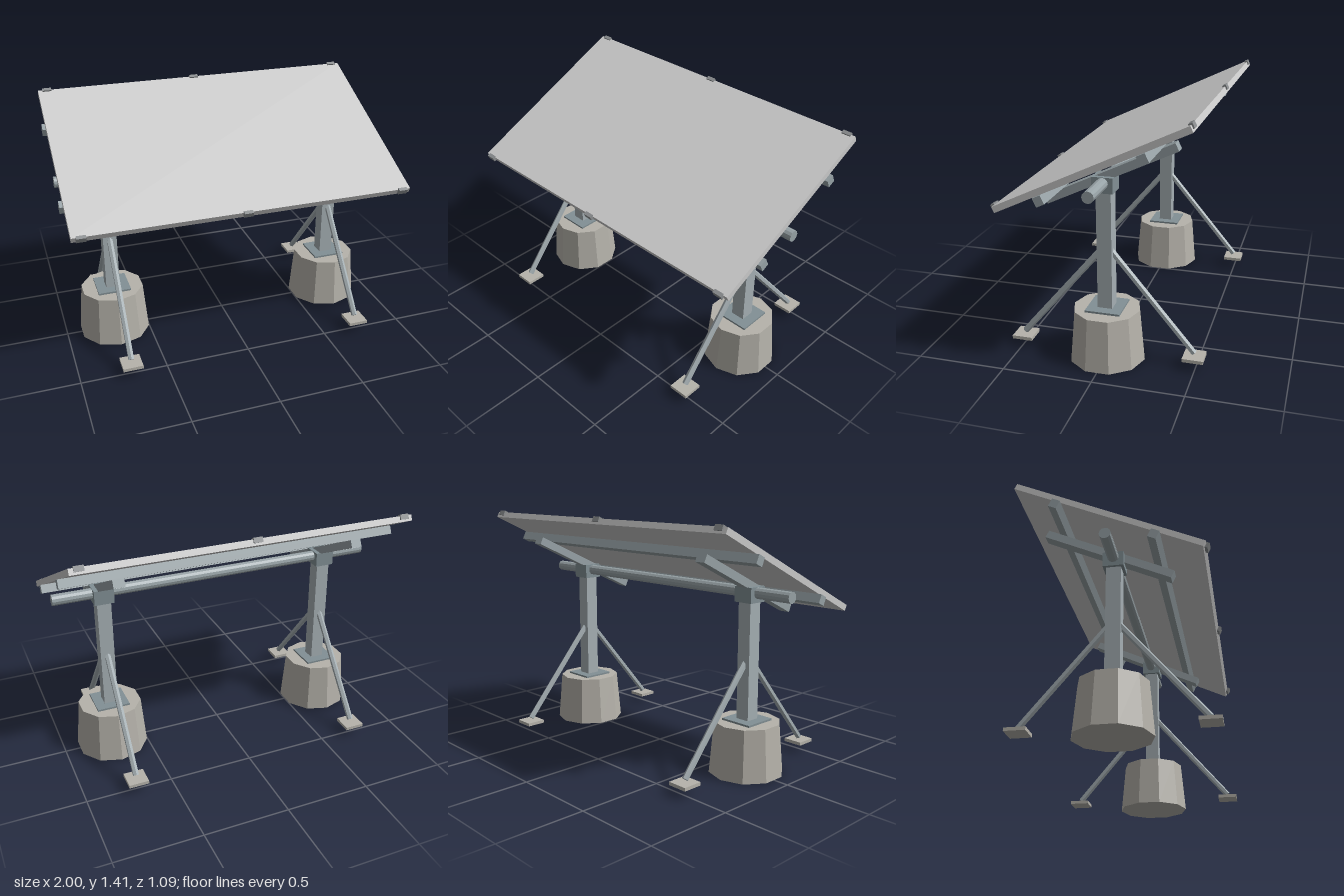
import * as THREE from 'three';

const mat = (color) => new THREE.MeshStandardMaterial({ color, flatShading: true });

export function createModel() {
  const model = new THREE.Group();
  const panelGrey = mat(0xcccccc), steel = mat(0xa6b0b4), rail = mat(0x98a3a7);
  const bracket = mat(0x829095), concrete = mat(0xb6b3ab), clipGrey = mat(0x8a8d8f);

  const add = (parent, name, geometry, material, x, y, z) => {
    const mesh = new THREE.Mesh(geometry, material);
    mesh.name = name;
    mesh.position.set(x, y, z);
    parent.add(mesh);
    return mesh;
  };
  const box = (parent, name, material, w, h, d, x, y, z) =>
    add(parent, name, new THREE.BoxGeometry(w, h, d), material, x, y, z);

  // Round bar running between two points
  const bar = (parent, name, material, a, b, radius, sides) => {
    const dir = b.clone().sub(a);
    const mid = a.clone().add(b).multiplyScalar(0.5);
    const mesh = add(parent, name, new THREE.CylinderGeometry(radius, radius, dir.length(), sides),
      material, mid.x, mid.y, mid.z);
    mesh.quaternion.setFromUnitVectors(new THREE.Vector3(0, 1, 0), dir.normalize());
  };

  const legX = 0.706, pivotY = 1.019;

  // Two supports: footing, post, head and a pair of braces
  for (const side of [-1, 1]) {
    const support = new THREE.Group();
    support.name = side > 0 ? 'leftSupport' : 'rightSupport';
    support.position.x = side * legX;
    model.add(support);
    add(support, 'footing', new THREE.CylinderGeometry(0.187, 0.213, 0.296, 10), concrete, 0, 0.148, 0);
    box(support, 'basePlate', bracket, 0.195, 0.02, 0.195, 0, 0.297, 0);
    box(support, 'post', steel, 0.082, 0.7, 0.082, 0, 0.65, 0);
    box(support, 'postHead', bracket, 0.115, 0.086, 0.115, 0, 1.009, 0);
    for (const s of [-1, 1]) {
      bar(support, 'brace', steel, new THREE.Vector3(0, 0.083, s * 0.488),
        new THREE.Vector3(0, 0.64, s * 0.02), 0.018, 6);
      box(support, 'braceFoot', concrete, 0.116, 0.019, 0.116, 0, 0.06, s * 0.489);
    }
  }

  // Pivot tube
  bar(model, 'pivotTube', rail, new THREE.Vector3(-0.99, pivotY, 0),
    new THREE.Vector3(0.99, pivotY, 0), 0.032, 12);

  // Tilted frame: local y is the panel normal, -z runs up the slope
  const frame = new THREE.Group();
  frame.name = 'tiltedFrame';
  frame.position.y = pivotY;
  frame.rotation.x = 0.445;
  model.add(frame);
  const midZ = -0.048;
  for (const s of [-1, 1]) {
    box(frame, 'tiltArm', rail, 0.064, 0.046, 0.781, s * legX, 0.026, midZ);
    box(frame, 'crossRail', rail, 2, 0.05, 0.048, 0, 0.074, midZ + s * 0.294);
    for (const x of [-0.93, -0.02, 0.93])
      box(frame, 'edgeClip', clipGrey, 0.053, 0.03, 0.022, x, 0.127, midZ + s * 0.562);
  }
  box(frame, 'panel', panelGrey, 1.963, 0.035, 1.122, 0, 0.1165, -0.052);

  return model;
}
